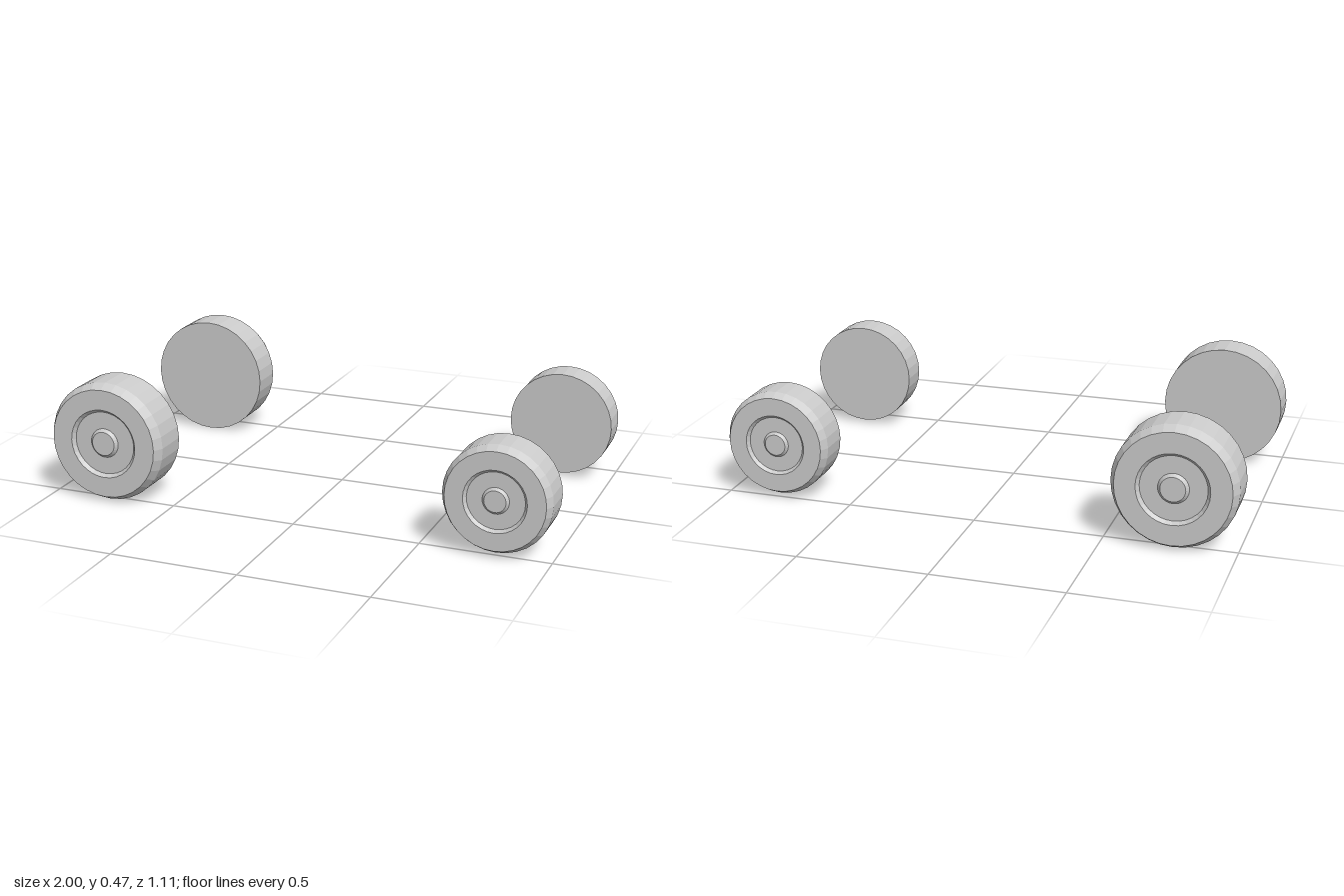
import * as THREE from 'three';

const material = new THREE.MeshStandardMaterial({ color: 0xcccccc, flatShading: true });

// Solid wheel: flat inner face, chamfered tread, dished rim with a raised hub
function wheelGeometry(r, width) {
  const s = r / 0.2365;
  const dish = width - 0.014 * s;
  const profile = [
    [0, 0], [r, 0],
    [r, width - 0.037 * s], [r - 0.02 * s, width],
    [0.137 * s, width], [0.125 * s, dish],
    [0.058 * s, dish], [0.047 * s, width - 0.002],
    [0, width - 0.002],
  ].map(([x, y]) => new THREE.Vector2(x, y));
  return new THREE.LatheGeometry(profile, 32);
}

export function createModel() {
  const model = new THREE.Group();
  model.name = 'wheelSet';

  // side: +1 puts the dished face towards +z, -1 towards -z
  const addWheel = (name, r, width, x, y, zInner, side) => {
    const wheel = new THREE.Mesh(wheelGeometry(r, width), material);
    wheel.name = name;
    wheel.rotation.x = side * Math.PI / 2;
    wheel.position.set(x, y, side * zInner);
    model.add(wheel);
  };

  // Large pair
  addWheel('largeWheelFront', 0.2365, 0.175, -0.7635, 0.24, 0.383, 1);
  addWheel('largeWheelBack', 0.2365, 0.175, -0.7635, 0.24, 0.381, -1);
  // Small pair
  addWheel('smallWheelFront', 0.206, 0.155, 0.792, 0.222, 0.383, 1);
  addWheel('smallWheelBack', 0.206, 0.153, 0.792, 0.222, 0.37, -1);

  return model;
}
